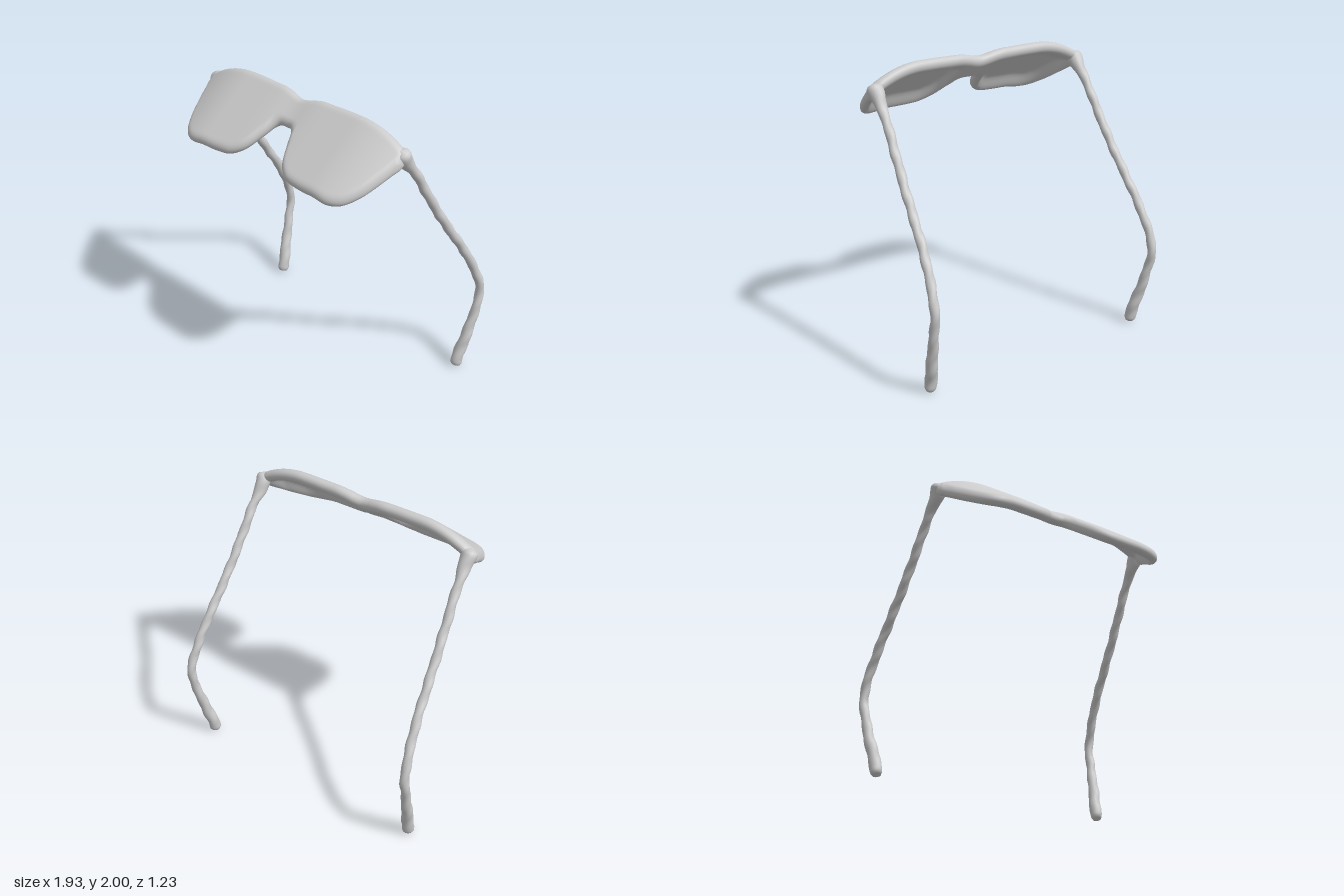
import * as THREE from 'three';
import { mergeVertices } from 'three/addons/utils/BufferGeometryUtils.js';

const material = new THREE.MeshStandardMaterial({ color: 0xcccccc });

// Half outline of the front: x, z of the top edge, z of the lower edge
const OUTLINE = [
  [0, 0.16, 0.325], [0.05, 0.155, 0.33], [0.08, 0.15, 0.355], [0.12, 0.145, 0.43],
  [0.18, 0.14, 0.53], [0.26, 0.14, 0.585], [0.36, 0.137, 0.6], [0.5, 0.137, 0.603],
  [0.62, 0.137, 0.6], [0.7, 0.137, 0.56], [0.77, 0.139, 0.47], [0.82, 0.142, 0.36],
  [0.85, 0.152, 0.28], [0.866, 0.17, 0.24], [0.873, 0.204, 0.207],
];

// Height of the tilted front's middle surface; it wraps back at the outer ends
function frontHeight(x, z) {
  const ax = Math.abs(x);
  const wrap = 0.1 * Math.max(0, (ax - 0.48) / 0.36) ** 2;
  const bridge = 0.018 * Math.exp(-((ax / 0.12) ** 2));
  return 1.965 - 0.78 * (z - 0.17) - wrap - bridge;
}

// Frame front: closed cross-sections lofted along x, rim rounded, lens backs hollowed
function frontGeometry() {
  const keys = [
    ...OUTLINE.slice(1).reverse().map(([x, a, b]) => new THREE.Vector3(-x, a, b)),
    ...OUTLINE.map((p) => new THREE.Vector3(...p)),
  ];
  const curve = new THREE.CatmullRomCurve3(keys);
  const stations = 168, half = 32, loop = half * 2;
  const pos = [], index = [];
  for (let i = 0; i <= stations; i++) {
    const p = curve.getPoint(i / stations);
    const tan = curve.getTangent(i / stations);
    const slope = Math.min(6, Math.abs(tan.z / Math.max(1e-3, Math.abs(tan.x))));
    const endGap = Math.max(0, 0.873 - Math.abs(p.x));
    for (let j = 0; j < loop; j++) {
      const t = 0.5 - 0.5 * Math.cos((j / half) * Math.PI);
      const z = THREE.MathUtils.lerp(p.y, p.z, t);
      const edge = Math.min(z - p.y, (p.z - z) / Math.hypot(1, slope), endGap);
      const round = 1 - Math.min(1, Math.max(0, edge) / 0.04);
      let off = 0.042 * Math.sqrt(Math.max(0, 1 - round * round));
      if (j > half) {
        const lens = THREE.MathUtils.smoothstep(Math.abs(p.x), 0.1, 0.2);
        off *= -(1 - 1.2 * lens * THREE.MathUtils.smoothstep(edge, 0.03, 0.13));
      }
      pos.push(p.x, frontHeight(p.x, z) + off * 0.81, z + off * 0.585);
      if (i < stations) {
        const a = i * loop + j, b = i * loop + ((j + 1) % loop);
        index.push(a, b, a + loop, b, b + loop, a + loop);
      }
    }
  }
  const g = new THREE.BufferGeometry();
  g.setAttribute('position', new THREE.Float32BufferAttribute(pos, 3));
  g.setIndex(index);
  const merged = mergeVertices(g, 1e-4);
  merged.computeVertexNormals();
  return merged;
}

// Temple arm: tube with slightly uneven thickness, rounded ends and a thicker tail
const TEMPLE = [
  [0.84, 1.9, 0.185], [0.838, 1.82, 0.14], [0.845, 1.7, 0.045], [0.857, 1.5, -0.075],
  [0.872, 1.29, -0.205], [0.888, 1.1, -0.335], [0.902, 0.95, -0.437], [0.92, 0.78, -0.53],
  [0.93, 0.67, -0.575], [0.933, 0.57, -0.588], [0.925, 0.42, -0.555],
  [0.905, 0.24, -0.505], [0.885, 0.1, -0.462], [0.878, 0.005, -0.442],
];
function templeGeometry(side) {
  const curve = new THREE.CatmullRomCurve3(TEMPLE.map(([x, y, z]) => new THREE.Vector3(side * x, y, z)));
  const rings = 160, sides = 16, length = curve.getLength();
  const g = new THREE.TubeGeometry(curve, rings, 1, sides);
  const pos = g.attributes.position, v = new THREE.Vector3();
  for (let i = 0; i <= rings; i++) {
    const u = i / rings, c = curve.getPointAt(u);
    const hinge = 0.022 * (1 - THREE.MathUtils.smoothstep(u, 0.02, 0.11));
    const tail = 0.01 * THREE.MathUtils.smoothstep(u, 0.75, 0.95);
    const gap = Math.min(u, 1 - u) * length;
    const cap = Math.sqrt(Math.max(1e-6, 1 - (1 - Math.min(1, gap / 0.04)) ** 2));
    for (let j = 0; j <= sides; j++) {
      const k = i * (sides + 1) + j, a = (j / sides) * Math.PI * 2;
      const lumps = 0.0022 * Math.sin(u * 95 + 2 * a) + 0.0018 * Math.sin(u * 57 - a + side);
      const r = (0.031 + hinge + tail + lumps) * cap;
      v.fromBufferAttribute(pos, k).sub(c).multiplyScalar(r).add(c);
      pos.setXYZ(k, v.x, v.y, v.z);
    }
  }
  g.deleteAttribute('uv');
  g.deleteAttribute('normal');
  const merged = mergeVertices(g, 1e-5);
  merged.computeVertexNormals();
  return merged;
}

export function createModel() {
  const group = new THREE.Group();
  group.name = 'glasses';
  const add = (name, geometry) => {
    const mesh = new THREE.Mesh(geometry, material);
    mesh.name = name;
    group.add(mesh);
  };
  add('frameFront', frontGeometry());
  add('leftTemple', templeGeometry(1));
  add('rightTemple', templeGeometry(-1));
  return group;
}
